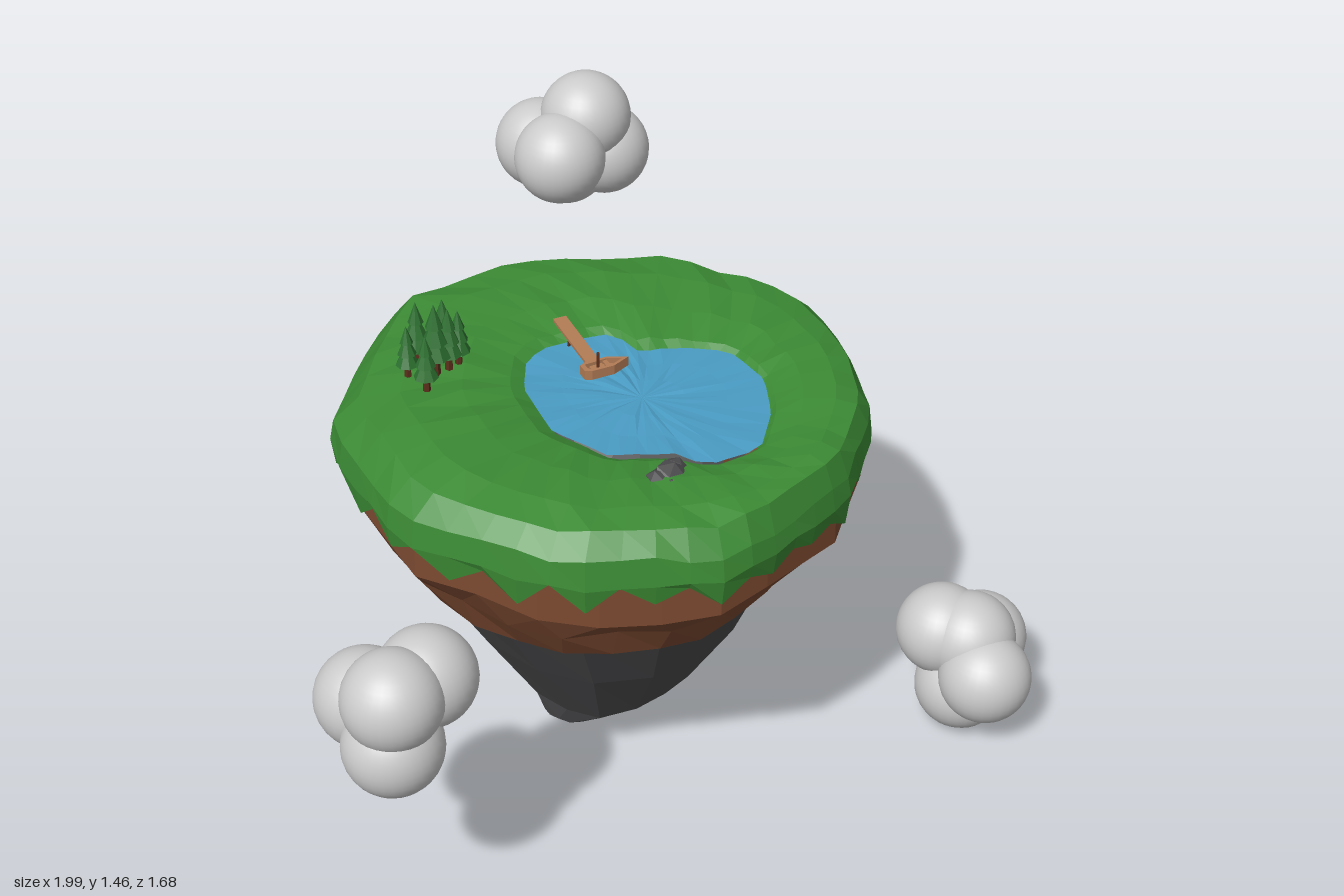
import * as THREE from 'three';

let seed = 7;
const rand = () => (seed = (seed * 16807) % 2147483647) / 2147483647;
const jitter = (a) => (rand() - 0.5) * 2 * a;

const mat = (color, flatShading = true) =>
  new THREE.MeshStandardMaterial({ color, flatShading, side: THREE.DoubleSide });
const GRASS = mat(0x3c8b35), DIRT = mat(0x7c4a31), ROCK = mat(0x4b4b4d), WATER = mat(0x4a9cc4);
const WOOD = mat(0xb27c55), LEAF = mat(0x2d7030), TRUNK = mat(0x5c2f1c), CLOUD = mat(0xcccccc, false);

// Outlines as x, z pairs
const ISLAND = [[-0.04, -0.53], [0.34, -0.42], [0.475, -0.27], [0.615, -0.07], [0.6, 0.24], [0.52, 0.47],
  [0.33, 0.68], [0.03, 0.81], [-0.1, 0.83], [-0.42, 0.71], [-0.61, 0.51], [-0.71, 0.37], [-0.73, -0.05],
  [-0.555, -0.29], [-0.41, -0.46]];
const POND = [[-0.19, -0.03], [-0.13, -0.07], [0.03, -0.07], [0.07, -0.02], [0.06, 0.03], [0.17, 0.06],
  [0.28, 0.13], [0.3, 0.27], [0.25, 0.4], [0.16, 0.52], [0.02, 0.53], [-0.03, 0.46], [-0.17, 0.4],
  [-0.25, 0.25], [-0.24, 0.07]];
const CX = 0, CZ = 0.22;

// Point of an outline hit by a ray from the pond centre
function hit(outline, angle) {
  const dx = Math.cos(angle), dz = Math.sin(angle);
  for (let i = 0; i < outline.length; i++) {
    const [ax, az] = outline[i], [bx, bz] = outline[(i + 1) % outline.length];
    const ex = bx - ax, ez = bz - az, px = ax - CX, pz = az - CZ;
    const det = dx * ez - dz * ex;
    const r = (px * ez - pz * ex) / det, s = (px * dz - pz * dx) / det;
    if (r > 0 && s >= -1e-6 && s <= 1 + 1e-6) return [CX + dx * r, CZ + dz * r];
  }
  return [CX, CZ];
}

// A ring of n points; f(angle, i) gives x, y, z
const ring = (n, f) => Array.from({ length: n }, (_, i) => f((i / n) * Math.PI * 2, i));

// Skin rings running outward across a top or downward along a side
function loft(name, material, rings) {
  const pos = [], n = rings[0].length;
  for (let k = 0; k < rings.length - 1; k++)
    for (let i = 0; i < n; i++) {
      const j = (i + 1) % n;
      const a = rings[k][i], b = rings[k][j], c = rings[k + 1][j], d = rings[k + 1][i];
      pos.push(...a, ...b, ...d, ...b, ...c, ...d);
    }
  const g = new THREE.BufferGeometry();
  g.setAttribute('position', new THREE.Float32BufferAttribute(pos, 3));
  g.computeVertexNormals();
  const m = new THREE.Mesh(g, material);
  m.name = name;
  return m;
}

function add(parent, name, geometry, material, x, y, z) {
  const m = new THREE.Mesh(geometry, material);
  m.name = name;
  m.position.set(x, y, z);
  parent.add(m);
  return m;
}

function group(parent, name, x = 0, y = 0, z = 0) {
  const g = new THREE.Group();
  g.name = name;
  g.position.set(x, y, z);
  parent.add(g);
  return g;
}

// Ground height, a little higher at the back and left
const ground = (x, z) => 1.073 + 0.018 * THREE.MathUtils.clamp(-x - z, -0.3, 1);

function addIsland(root) {
  const N = 48;
  // Meadow between pond edge and rim
  const meadow = (t, drop, bump) => ring(N, (a) => {
    const [px, pz] = hit(POND, a), [ix, iz] = hit(ISLAND, a);
    const x = px + (ix - px) * t, z = pz + (iz - pz) * t;
    return [x, ground(x, z) - drop + jitter(bump), z];
  });
  // Rim rings, scaled about the island's middle
  const rim = (n, s, y) => ring(n, (a, i) => {
    const [x, z] = hit(ISLAND, a);
    return [-0.06 + (x + 0.06) * s, y(i), 0.15 + (z - 0.15) * s];
  });
  root.add(loft('grassTop', GRASS, [
    meadow(0, 0.04, 0.002), meadow(0.1, 0.018, 0.004), meadow(0.35, 0.002, 0.006), meadow(0.65, 0, 0.006),
    meadow(0.85, 0.012, 0.008), rim(N, 0.985, () => 1.0 + jitter(0.015)), rim(N, 1, () => 0.935 + jitter(0.012)),
    rim(N, 0.985, (i) => (i % 2 ? 0.87 : 0.915) + jitter(0.022)), rim(N, 0.94, () => 0.95),
  ]));

  const ellipse = (n, cx, cz, rx, rz, y, j) => ring(n, (a) => {
    const s = 1 + jitter(j);
    return [cx + Math.cos(a) * rx * s, y + jitter(j * 0.5), cz + Math.sin(a) * rz * s];
  });
  root.add(loft('dirtLayer', DIRT, [
    rim(26, 0.96, () => 0.96), rim(26, 0.965, () => 0.83 + jitter(0.03)),
    ellipse(26, -0.09, 0.14, 0.54, 0.58, 0.73, 0.02), ellipse(26, -0.1, 0.14, 0.48, 0.52, 0.625, 0.025),
    ellipse(26, -0.1, 0.14, 0.42, 0.45, 0.66, 0),
  ]));
  root.add(loft('rockBase', ROCK, [
    ellipse(15, -0.1, 0.14, 0.48, 0.515, 0.67, 0.01), ellipse(15, -0.07, 0.15, 0.36, 0.375, 0.41, 0.04),
    ellipse(15, -0.055, 0.15, 0.228, 0.218, 0.175, 0.03), ellipse(15, -0.18, 0.19, 0.075, 0.075, 0.093, 0.01),
    ellipse(15, -0.18, 0.19, 0, 0, 0.09, 0),
  ]));

  // Pond surface with small ripples
  const water = (s) => ring(N, (a) => {
    const [x, z] = hit(POND, a);
    return [CX + (x - CX) * s, 1.046 + (s ? jitter(0.003) : 0), CZ + (z - CZ) * s];
  });
  root.add(loft('pond', WATER, [0, 0.35, 0.7, 1.04].map(water)));
}

function addTrees(root) {
  const trees = group(root, 'trees');
  const spots = [[-0.46, -0.11, 0.95], [-0.39, -0.11, 0.9], [-0.505, -0.06, 0.8], [-0.437, -0.045, 1.08],
    [-0.37, -0.06, 0.85], [-0.485, 0.015, 0.85], [-0.4, -0.05, 0.95]];
  for (const [x, z, s] of spots) {
    const t = group(trees, 'pineTree', x, 1.08, z);
    t.scale.setScalar(s);
    t.rotation.y = rand() * 6;
    add(t, 'trunk', new THREE.CylinderGeometry(0.009, 0.012, 0.07, 6), TRUNK, 0, 0.03, 0);
    [[0.037, 0.075, 0.085], [0.03, 0.07, 0.12], [0.021, 0.06, 0.155]].forEach(([r, h, y]) =>
      add(t, 'branches', new THREE.ConeGeometry(r, h, 8), LEAF, 0, y, 0));
  }
}

function addPondDetails(root) {
  // Plank pier from the back shore
  const dock = group(root, 'dock', -0.055, 1.068, -0.035);
  dock.rotation.x = 0.06;
  add(dock, 'deck', new THREE.BoxGeometry(0.036, 0.008, 0.235), WOOD, 0, 0, 0);
  for (const x of [-0.013, 0.013])
    for (const z of [-0.03, 0.1])
      add(dock, 'post', new THREE.CylinderGeometry(0.004, 0.004, 0.05, 6), TRUNK, x, -0.025, z);

  // Rowing boat with pointed bow
  const boat = group(root, 'boat', -0.035, 1.049, 0.08);
  const hull = new THREE.Shape([[-0.062, -0.014], [-0.045, -0.022], [0.015, -0.022], [0.065, 0], [0.015, 0.022],
    [-0.045, 0.022], [-0.062, 0.014]].map((p) => new THREE.Vector2(...p)));
  hull.holes.push(new THREE.Path([[-0.05, -0.012], [0.012, -0.015], [0.046, 0], [0.012, 0.015], [-0.05, 0.012]]
    .map((p) => new THREE.Vector2(...p))));
  const h = add(boat, 'hull', new THREE.ExtrudeGeometry(hull, { depth: 0.026, bevelEnabled: false }), WOOD, 0, 0, 0);
  h.rotation.x = -Math.PI / 2;
  add(boat, 'boatFloor', new THREE.BoxGeometry(0.08, 0.008, 0.03), WOOD, -0.015, 0.008, 0);
  add(boat, 'boatSeat', new THREE.BoxGeometry(0.012, 0.005, 0.036), WOOD, 0.005, 0.02, 0);
  add(boat, 'mooringPost', new THREE.CylinderGeometry(0.004, 0.004, 0.06, 6), TRUNK, -0.022, 0.034, 0.006);

  // Boulders on the front shore
  const rocks = group(root, 'shoreRocks');
  for (const [x, z, s] of [[-0.085, 0.55, 0.042], [-0.12, 0.555, 0.03], [-0.06, 0.525, 0.028], [-0.095, 0.59, 0.022]]) {
    const b = add(rocks, 'boulder', new THREE.IcosahedronGeometry(s, 0), ROCK, x, 1.057, z);
    b.rotation.set(rand() * 0.5, rand() * 6, 0);
    b.scale.y = 0.55;
  }
}

function addClouds(root) {
  const clouds = {
    frontRightCloud: [[-0.86, 0.77, 0.71], [-0.755, 0.76, 0.655], [-0.88, 0.68, 0.575], [-0.865, 0.635, 0.71]],
    frontLeftCloud: [[0.79, 0.21, 0.67], [0.87, 0.21, 0.52], [0.748, 0.275, 0.515], [0.775, 0.13, 0.585],
      [0.795, 0.275, 0.575]],
    backCloud: [[0.25, 1.345, -0.655], [0.305, 1.235, -0.655], [0.145, 1.275, -0.59], [0.15, 1.25, -0.73],
      [0.2, 1.215, -0.68]],
  };
  const puff = new THREE.SphereGeometry(0.122, 32, 20);
  for (const [name, puffs] of Object.entries(clouds)) {
    const g = group(root, name);
    puffs.forEach((p) => add(g, 'puff', puff, CLOUD, ...p));
  }
}

export function createModel() {
  seed = 7;
  const root = new THREE.Group();
  root.name = 'floatingIsland';
  addIsland(root);
  addTrees(root);
  addPondDetails(root);
  addClouds(root);
  return root;
}
